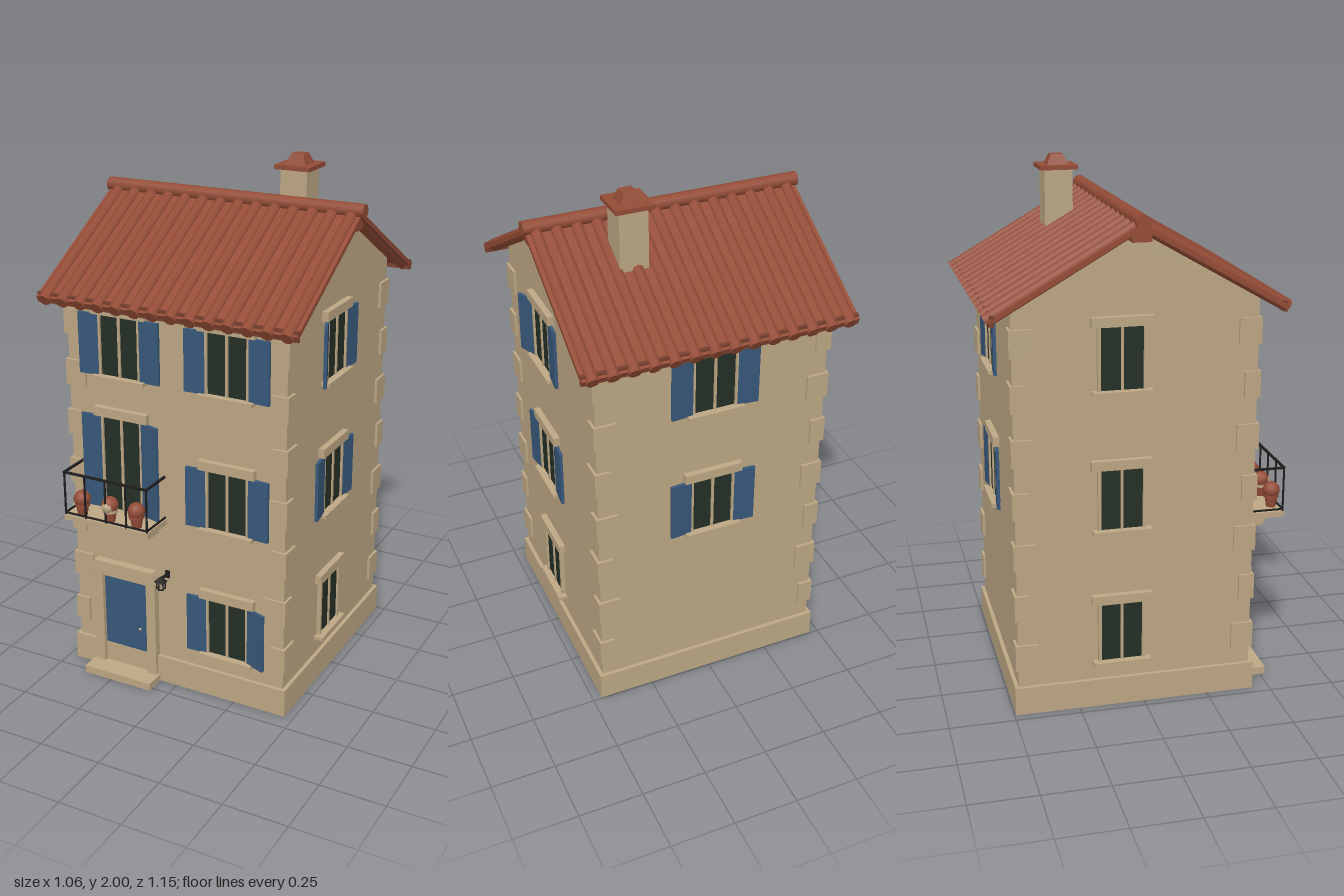
import * as THREE from 'three';

const mat = (name, color) => {
  const m = new THREE.MeshStandardMaterial({ color });
  m.name = name;
  return m;
};

export function createModel() {
  const plaster = mat('plaster', 0xbda784);
  const tile = mat('terracotta', 0x944c36);
  const wood = mat('eaveBrown', 0x784030);
  const blue = mat('shutterBlue', 0x38587a);
  const glass = mat('darkGlass', 0x243026);
  const iron = mat('iron', 0x1e1e1e);

  const house = new THREE.Group();
  house.name = 'house';
  const CZ = -0.03, HALF = 0.45; // wall centre in z, half width

  const add = (parent, name, geo, m, x = 0, y = 0, z = 0) => {
    const mesh = new THREE.Mesh(geo, m);
    mesh.name = name;
    mesh.position.set(x, y, z);
    parent.add(mesh);
    return mesh;
  };
  const box = (parent, name, m, w, h, d, x, y, z) =>
    add(parent, name, new THREE.BoxGeometry(w, h, d), m, x, y, z);
  const group = (parent, name, x = 0, y = 0, z = 0) => {
    const g = new THREE.Group();
    g.name = name;
    g.position.set(x, y, z);
    parent.add(g);
    return g;
  };
  // prism from a 2D outline, centred in depth
  const prism = (pts, depth) => new THREE.ExtrudeGeometry(
    new THREE.Shape(pts.map(p => new THREE.Vector2(...p))),
    { depth, bevelEnabled: false }).translate(0, 0, -depth / 2);

  // Walls with gable ends
  add(house, 'walls', prism([[-HALF, 0], [HALF, 0], [HALF, 1.565], [0.08, 1.776],
    [-0.08, 1.776], [-HALF, 1.565]], 2 * HALF).rotateY(-Math.PI / 2), plaster, 0, 0, CZ);
  box(house, 'plinth', plaster, 0.93, 0.11, 0.93, 0, 0.055, CZ);

  // Corner stones, alternating long and short
  for (const sx of [-1, 1]) for (const sz of [-1, 1]) for (let i = 0; i < 7; i++) {
    const a = i % 2 ? 0.075 : 0.05, b = i % 2 ? 0.05 : 0.075, out = 0.01;
    box(house, 'cornerStone', plaster, a + out, 0.1, b + out,
      sx * (HALF + out - (a + out) / 2), 0.23 + i * 0.2,
      CZ + sz * (HALF + out - (b + out) / 2));
  }

  // Roof: two slopes of slab, half-round tiles and an eave board
  const roof = group(house, 'roof', 0, 1.822, CZ);
  const angle = Math.atan(0.575);
  for (const turn of [0, Math.PI]) {
    const side = group(roof, 'roofSide');
    side.rotation.y = turn;
    const slope = group(side, 'roofSlope');
    slope.rotation.x = angle;
    box(slope, 'roofSlab', tile, 1.044, 0.017, 0.611, 0, 0.0085, 0.3055);
    const roll = new THREE.CylinderGeometry(0.024, 0.024, 0.62, 8).rotateX(Math.PI / 2);
    for (let i = 0; i < 14; i++)
      add(slope, 'roofTile', roll, tile, (i - 6.5) * 0.0746, 0.011, 0.31);
    box(side, 'eaveBoard', wood, 1.044, 0.038, 0.014, 0, -0.293, 0.522);
  }
  add(roof, 'ridgeTile', new THREE.CylinderGeometry(0.027, 0.027, 1.064, 10)
    .rotateZ(Math.PI / 2), tile, 0, 0.024, 0);
  box(roof, 'ridgeBeam', tile, 1.02, 0.045, 0.07, 0, -0.024, 0);

  // Chimney
  const chimney = group(house, 'chimney', 0.2, 0, -0.19);
  box(chimney, 'chimneyStack', plaster, 0.108, 0.36, 0.108, 0, 1.77, 0);
  box(chimney, 'chimneyCap', tile, 0.145, 0.016, 0.145, 0, 1.954, 0);
  add(chimney, 'chimneyTop', new THREE.CylinderGeometry(0.034, 0.057, 0.038, 4)
    .rotateY(Math.PI / 4).toNonIndexed(), tile, 0, 1.981, 0).geometry.computeVertexNormals();

  // Wall faces: local z = 0 is the wall surface, local x runs to the viewer's right
  const face = (name, turn) => {
    const pivot = group(house, name, 0, 0, CZ);
    pivot.rotation.y = turn;
    return group(pivot, name + 'Surface', 0, 0, HALF);
  };
  const front = face('frontFace', 0), right = face('plusXFace', Math.PI / 2);
  const back = face('backFace', Math.PI), left = face('minusXFace', -Math.PI / 2);

  // Window or glazed door; tilt = how far each shutter stands off the wall
  const addWindow = (wall, x, y, { h = 0.235, tilt = null, sill = true } = {}) => {
    const w = group(wall, 'window', x, y, 0);
    box(w, 'windowGlass', glass, 0.16, h, 0.008, 0, 0, 0.004);
    box(w, 'mullion', plaster, 0.01, h, 0.014, 0, 0, 0.007);
    for (const s of [-1, 1])
      box(w, 'windowJamb', plaster, 0.012, h, 0.016, s * 0.084, 0, 0.008);
    box(w, 'lintel', plaster, 0.228, 0.036, 0.024, 0, h / 2 + 0.018, 0.012);
    if (sill) box(w, 'sill', plaster, 0.22, 0.014, 0.036, 0, -h / 2 - 0.004, 0.018);
    if (tilt) [-1, 1].forEach((s, i) => {
      const hinge = group(w, 'shutterHinge', s * 0.087, 0, 0.01);
      hinge.rotation.y = -s * tilt[i];
      box(hinge, 'shutter', blue, 0.082, h, 0.012, s * 0.041, 0, 0);
    });
  };
  const rows = [0.302, 0.83, 1.358];
  addWindow(front, 0.22, rows[0], { tilt: [0.06, 0.35] });
  addWindow(front, 0.22, rows[1], { tilt: [0.06, 0.06] });
  addWindow(front, 0.22, rows[2], { tilt: [0.06, 0.06] });
  addWindow(front, -0.222, rows[2], { tilt: [0.06, 0.06] });
  addWindow(front, -0.222, 0.892, { h: 0.376, tilt: [0.06, 0.3], sill: false });
  addWindow(right, -0.057, rows[0]);
  addWindow(right, -0.057, rows[1], { tilt: [0.12, 0.08] });
  addWindow(right, -0.057, rows[2], { tilt: [0.35, 0.1] });
  for (const y of rows) addWindow(left, -0.057, y);
  addWindow(back, 0, rows[1], { tilt: [0.08, 0.08] });
  addWindow(back, 0, rows[2], { tilt: [0.08, 0.08] });

  // Front door with surround, lintel and step
  const door = group(front, 'frontDoor', -0.222, 0, 0);
  box(door, 'doorLeaf', blue, 0.2, 0.31, 0.012, 0, 0.262, 0.006);
  for (const s of [-1, 1])
    box(door, 'doorJamb', plaster, 0.04, 0.43, 0.03, s * 0.118, 0.215, 0.015);
  box(door, 'doorHead', plaster, 0.2, 0.018, 0.026, 0, 0.423, 0.013);
  add(door, 'doorLintel', prism([[-0.148, 0.43], [0.148, 0.43], [0.13, 0.477],
    [-0.13, 0.477]], 0.034), plaster, 0, 0, 0.017);
  box(door, 'doorStep', plaster, 0.296, 0.03, 0.1, 0, 0.015, 0.05);
  add(door, 'doorKnob', new THREE.SphereGeometry(0.006, 8, 6), plaster, 0.06, 0.207, 0.016);

  // Wall lantern
  const lantern = group(front, 'lantern', -0.04, 0, 0);
  box(lantern, 'lanternArm', iron, 0.008, 0.008, 0.06, 0, 0.478, 0.03);
  box(lantern, 'lanternPlate', iron, 0.018, 0.03, 0.006, 0, 0.475, 0.003);
  add(lantern, 'lanternRoof', new THREE.CylinderGeometry(0.006, 0.026, 0.018, 6),
    iron, 0, 0.477, 0.055);
  add(lantern, 'lanternGlass', new THREE.CylinderGeometry(0.018, 0.012, 0.03, 6),
    plaster, 0, 0.453, 0.055);
  add(lantern, 'lanternBase', new THREE.CylinderGeometry(0.014, 0.012, 0.006, 6),
    iron, 0, 0.436, 0.055);
  for (let i = 0; i < 6; i++) {
    const a = i * Math.PI / 3;
    box(lantern, 'lanternBar', iron, 0.004, 0.032, 0.004,
      0.016 * Math.sin(a), 0.453, 0.055 + 0.016 * Math.cos(a));
  }

  // Balcony slab, brackets and railing
  const balcony = group(front, 'balcony', -0.225, 0, 0);
  box(balcony, 'balconySlab', plaster, 0.365, 0.022, 0.14, 0, 0.694, 0.07);
  for (const s of [-1, 1]) {
    add(balcony, 'bracket', prism([[0, 0.683], [0, 0.64], [0.065, 0.64], [0.09, 0.683]]
      .reverse(), 0.02).rotateY(-Math.PI / 2), plaster, s * 0.136, 0, 0);
    box(balcony, 'sideRail', iron, 0.008, 0.008, 0.135, s * 0.178, 0.878, 0.0675);
    box(balcony, 'sideFootRail', iron, 0.006, 0.006, 0.135, s * 0.178, 0.712, 0.0675);
  }
  box(balcony, 'topRail', iron, 0.364, 0.008, 0.008, 0, 0.878, 0.135);
  box(balcony, 'footRail', iron, 0.364, 0.006, 0.006, 0, 0.712, 0.135);
  for (let i = -2; i <= 2; i++)
    box(balcony, 'railBar', iron, 0.006, 0.175, 0.006, i * 0.089, 0.79, 0.135);

  // Flower pots
  [-0.12, 0.003, 0.118].forEach((x, i) => {
    const pot = group(balcony, 'flowerPot', x, 0.705, 0.108);
    add(pot, 'potBody', new THREE.CylinderGeometry(0.026, 0.019, 0.045, 10),
      tile, 0, 0.0225, 0);
    add(pot, 'potRim', new THREE.CylinderGeometry(0.03, 0.03, 0.012, 10),
      i === 1 ? plaster : tile, 0, 0.045, 0);
    add(pot, 'flowers', new THREE.SphereGeometry(0.033, 10, 8), tile, 0, 0.066, 0);
    if (i === 1) add(pot, 'paleFlowers', new THREE.SphereGeometry(0.024, 10, 8),
      plaster, 0, 0.062, 0.014);
  });

  return house;
}
